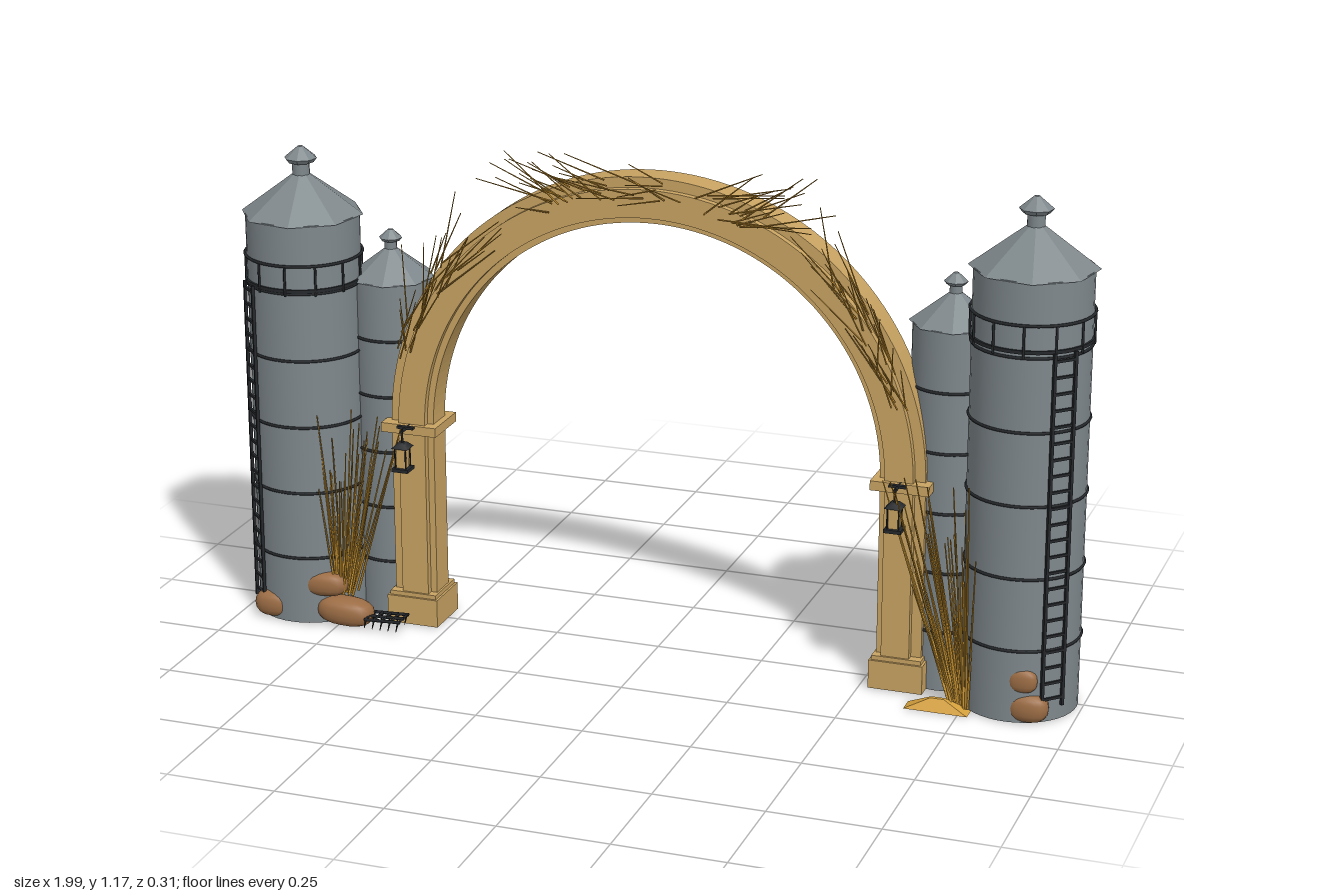
import * as THREE from 'three';

const paint = (name, color, side = THREE.FrontSide) => {
  const m = new THREE.MeshStandardMaterial({ color, side });
  m.name = name;
  return m;
};

export function createModel() {
  const model = new THREE.Group();
  model.name = 'farmArch';
  const steel = paint('silo grey', 0x7f888c);
  const iron = paint('dark iron', 0x24272a);
  const stone = paint('sandstone', 0xc8a362);
  const straw = paint('straw', 0xb8862b);
  const gold = paint('golden straw', 0xd6a13c);
  const burlap = paint('burlap', 0x9c6d45);

  let seed = 17;
  const rand = (a = 0, b = 1) => {
    seed = (seed * 16807) % 2147483647;
    return a + (b - a) * (seed / 2147483647);
  };
  const add = (parent, name, geo, mat, x = 0, y = 0, z = 0) => {
    const m = new THREE.Mesh(geo, mat);
    m.name = name;
    m.position.set(x, y, z);
    parent.add(m);
    return m;
  };
  const group = (name, x = 0, y = 0, z = 0) => {
    const g = new THREE.Group();
    g.name = name;
    g.position.set(x, y, z);
    model.add(g);
    return g;
  };
  // thin round rod between two points
  const rod = (parent, name, a, b, r, mat, rTip = r, sides = 5) => {
    const p = new THREE.Vector3(...a), q = new THREE.Vector3(...b);
    const d = q.clone().sub(p);
    const m = add(parent, name, new THREE.CylinderGeometry(rTip, r, d.length(), sides), mat);
    m.position.copy(p).add(q).multiplyScalar(0.5);
    m.quaternion.setFromUnitVectors(new THREE.Vector3(0, 1, 0), d.normalize());
  };
  const ring = (parent, name, r, t, y) => {
    add(parent, name, new THREE.TorusGeometry(r, t, 6, 40), iron, 0, y, 0).rotation.x = Math.PI / 2;
  };
  // faceted part that keeps its flat faces
  const faceted = (top, bottom, h, sides = 8) =>
    new THREE.CylinderGeometry(top, bottom, h, sides).rotateY(0.2).toNonIndexed();

  // silo with hoops, conical roof, vent and cap
  const silo = (name, x, z, r, eave) => {
    const g = group(name, x, 0, z);
    const k = r / 0.131;
    add(g, 'siloBody', new THREE.CylinderGeometry(r, r, eave - 0.005, 40), steel, 0, (eave + 0.005) / 2, 0);
    for (let i = 1; i < 6; i++) ring(g, 'hoop', r + 0.001, 0.0035, 0.006 + (eave - 0.005) * i / 6);
    const facet = (part, t, b, h, y) => {
      const geo = faceted(t, b, h);
      geo.computeVertexNormals();
      add(g, part, geo, steel, 0, y, 0);
    };
    facet('roof', 0.008, r * 1.087, 0.1 * k, eave + 0.048 * k);
    add(g, 'vent', new THREE.CylinderGeometry(0.02 * k, 0.02 * k, 0.05 * k, 12), steel, 0, eave + 0.1 * k, 0);
    facet('ventRim', 0.038 * k, 0.03 * k, 0.01 * k, eave + 0.122 * k);
    facet('ventCap', 0.006, 0.038 * k, 0.027 * k, eave + 0.1405 * k);
    return g;
  };

  // tall silos also carry a railed walkway and a ladder
  const tallSilo = (side, x, eave) => {
    const r = 0.131;
    const g = silo('tallSilo', x, 0.0185, r, eave);
    const y0 = eave - 0.165, y1 = eave - 0.094;
    const deck = new THREE.CylinderGeometry(r + 0.005, r + 0.005, 0.008, 40);
    add(g, 'walkway', deck, iron, 0, y0 + 0.012, 0);
    ring(g, 'handRail', r + 0.004, 0.0035, y1);
    for (let i = 0; i < 12; i++) {
      const a = i * Math.PI / 6 + 0.1, px = Math.sin(a) * (r + 0.004), pz = Math.cos(a) * (r + 0.004);
      rod(g, 'railPost', [px, y0, pz], [px, y1, pz], 0.003, iron);
    }
    const ladder = new THREE.Group();
    ladder.name = 'ladder';
    ladder.rotation.y = side * Math.PI / 4;
    g.add(ladder);
    for (const s of [-0.026, 0.026])
      add(ladder, 'ladderRail', new THREE.BoxGeometry(0.007, y0 - 0.03, 0.007), iron, s, (y0 + 0.05) / 2, r + 0.005);
    for (let y = 0.06; y < y0; y += 0.037)
      add(ladder, 'rung', new THREE.BoxGeometry(0.052, 0.006, 0.005), iron, 0, y, r + 0.005);
  };
  tallSilo(1, 0.857, 1.01);
  tallSilo(-1, -0.858, 0.97);
  silo('smallSilo', 0.667, -0.057, 0.093, 0.845);
  silo('smallSilo', -0.673, -0.057, 0.093, 0.815);

  // arch and legs: two nested slabs give the stepped moulding
  const spring = 0.495;
  const archSlab = (name, ro, ri, z0, z1) => {
    const s = new THREE.Shape();
    s.moveTo(ro, 0.03);
    s.lineTo(ro, spring);
    s.absarc(0, spring, ro, 0, Math.PI, false);
    s.lineTo(-ro, 0.03);
    s.lineTo(-ri, 0.03);
    s.lineTo(-ri, spring);
    s.absarc(0, spring, ri, Math.PI, 0, true);
    s.lineTo(ri, 0.03);
    const geo = new THREE.ExtrudeGeometry(s, { depth: z1 - z0, bevelEnabled: false, curveSegments: 40 });
    add(model, name, geo, stone, 0, 0, z0);
  };
  archSlab('archCore', 0.637, 0.533, -0.025, 0.043);
  archSlab('archFace', 0.613, 0.548, -0.044, 0.06);
  for (const s of [-1, 1]) {
    add(model, 'pillarBase', new THREE.BoxGeometry(0.125, 0.067, 0.125), stone, s * 0.585, 0.0385, 0.008);
    add(model, 'pillarBaseStep', new THREE.BoxGeometry(0.114, 0.01, 0.114), stone, s * 0.585, 0.077, 0.008);
    add(model, 'capital', new THREE.BoxGeometry(0.135, 0.022, 0.125), stone, s * 0.585, 0.487, 0.008);

    // hanging lantern on a bracket
    const l = group('lantern', s * 0.585, 0, 0.105);
    rod(l, 'bracket', [0, 0.495, -0.05], [0, 0.495, 0.005], 0.004, iron);
    rod(l, 'hanger', [0, 0.5, 0], [0, 0.46, 0], 0.003, iron);
    add(l, 'lanternHook', new THREE.BoxGeometry(0.04, 0.006, 0.01), iron, 0, 0.498, -0.02);
    add(l, 'lanternCap', new THREE.CylinderGeometry(0.012, 0.028, 0.012, 4).rotateY(Math.PI / 4), iron, 0, 0.463, 0);
    add(l, 'lanternFloor', new THREE.BoxGeometry(0.04, 0.008, 0.04), iron, 0, 0.405, 0);
    add(l, 'lanternLight', new THREE.BoxGeometry(0.022, 0.05, 0.022), stone, 0, 0.433, 0);
    for (const px of [-0.013, 0.013]) for (const pz of [-0.013, 0.013])
      rod(l, 'lanternPost', [px, 0.405, pz], [px, 0.46, pz], 0.002, iron);
  }

  // standing straw sheaves beside the pillars
  const sheaf = (x, y, spread, lean, n, top) => {
    const g = group('strawSheaf');
    for (let i = 0; i < n; i++) {
      const t = rand(-1, 1), h = rand(0.2, top);
      const bx = x + t * 0.022, bz = rand(0.085, 0.125);
      const tx = bx + (t * spread + lean) * h, tz = Math.min(0.15, bz + rand(-0.02, 0.03));
      rod(g, 'stalk', [bx, y, bz], [tx, y + h, tz], 0.0032, i % 3 ? straw : gold, 0.0014, 4);
    }
  };
  sheaf(-0.735, 0.08, 0.2, 0.1, 46, 0.46);
  sheaf(0.745, 0.01, 0.2, -0.16, 46, 0.53);
  add(model, 'strawHeap', new THREE.CylinderGeometry(0.15, 0.707, 1, 4).rotateY(Math.PI / 4).toNonIndexed(),
    gold, 0.7, 0.017, 0.131).scale.set(0.145, 0.027, 0.042);
  model.children.at(-1).geometry.computeVertexNormals();

  // loose straw laid over the face of the arch: angle on the arch, stalk direction, count
  const tufts = [[22, 108, 16], [38, 118, 14], [72, 18, 18], [106, 158, 18], [140, 58, 14], [157, 76, 16], [90, 175, 10]];
  for (const [deg, dir, n] of tufts) {
    const g = group('archStraw');
    for (let i = 0; i < n; i++) {
      const a = (deg + rand(-8, 8)) * Math.PI / 180, r = rand(0.59, 0.64);
      const d = (dir + rand(-22, 22)) * Math.PI / 180, len = rand(0.08, 0.19);
      const px = Math.cos(a) * r, py = spring + Math.sin(a) * r, z = rand(0.066, 0.088);
      const tipY = Math.min(1.175, py + Math.sin(d) * len);
      rod(g, 'stalk', [px, py, z], [px + Math.cos(d) * len, tipY, z + rand(-0.006, 0.008)], 0.002, straw, 0.001, 4);
    }
  }

  // filled sacks: x, y, z, half sizes, tilt
  for (const [x, y, z, a, b, c, tilt] of [
    [-0.79, 0.1, 0.115, 0.062, 0.03, 0.03, 0.03], [-0.735, 0.037, 0.115, 0.07, 0.033, 0.038, -0.05],
    [-0.915, 0.037, 0.12, 0.047, 0.032, 0.033, 0], [0.89, 0.102, 0.135, 0.034, 0.028, 0.018, 0],
    [0.902, 0.037, 0.125, 0.047, 0.034, 0.03, 0]]) {
    const m = add(model, 'sack', new THREE.SphereGeometry(1, 16, 10), burlap, x, y, z);
    const p = m.geometry.attributes.position;
    for (let i = 0; i < p.count; i++) {
      // square the ball off a little so it reads as a stuffed bag
      const q = [p.getX(i), p.getY(i), p.getZ(i)].map(v => Math.sign(v) * Math.abs(v) ** 0.8);
      p.setXYZ(i, ...q);
    }
    m.geometry.computeVertexNormals();
    m.scale.set(a, b, c);
    m.rotation.z = tilt;
  }

  // small iron harrow lying on the ground
  const harrow = group('harrow', -0.63, 0, 0.115);
  for (const z of [-0.022, 0.005, 0.03])
    rod(harrow, 'harrowBar', [-0.045, 0.034, z], [0.045, 0.038, z], 0.004, iron);
  for (let i = 0; i < 5; i++) {
    const x = -0.04 + i * 0.02;
    rod(harrow, 'harrowBeam', [x, 0.036, -0.022], [x, 0.036, 0.03], 0.003, iron);
    for (const z of [-0.022, 0.03]) rod(harrow, 'tine', [x, 0.036, z], [x - 0.006, 0.012, z], 0.0028, iron, 0.001);
  }
  return model;
}
